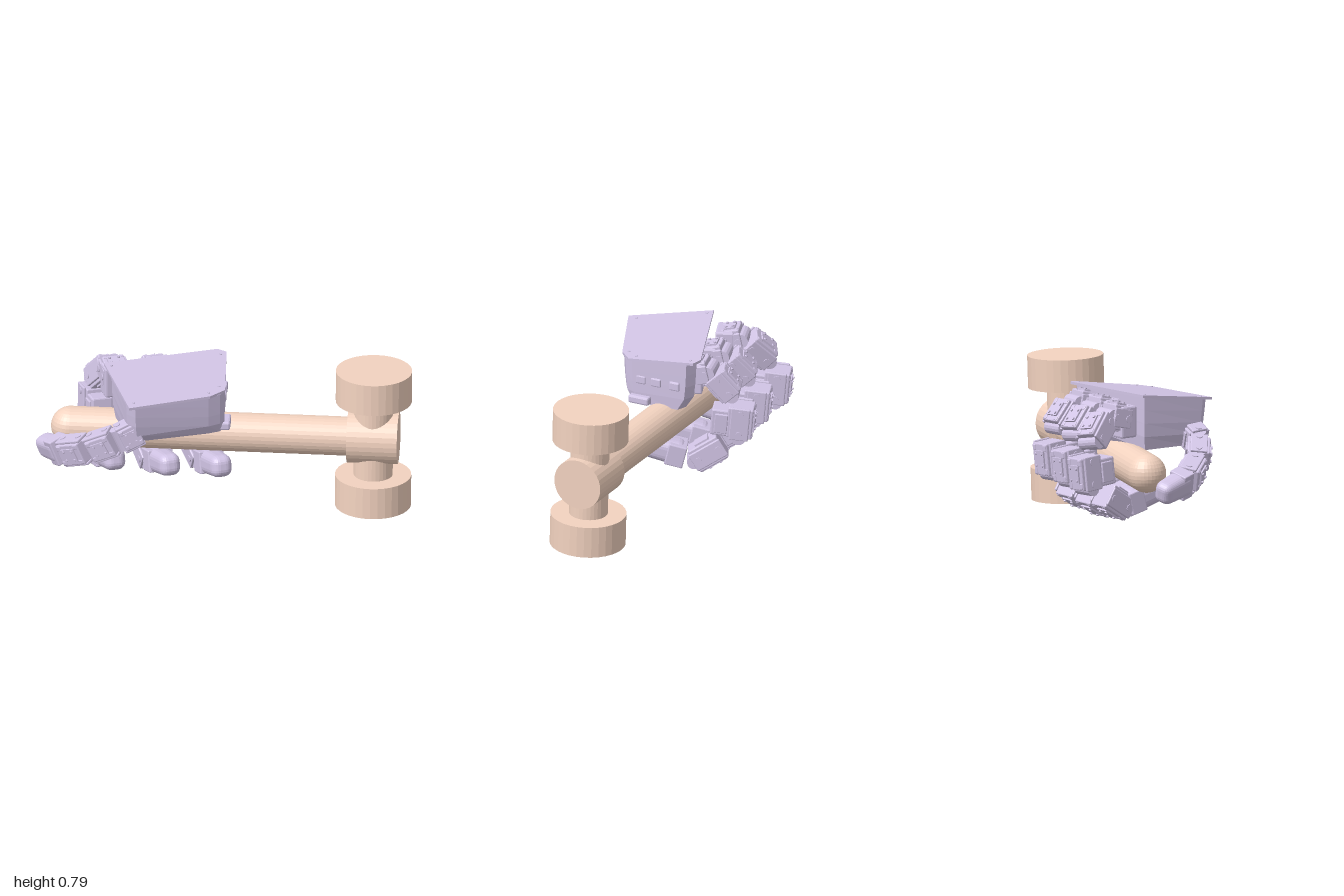
import * as THREE from 'three';
import { RoundedBoxGeometry } from 'three/addons/geometries/RoundedBoxGeometry.js';

const V = (x, y, z) => new THREE.Vector3(x, y, z);
const tan = new THREE.MeshStandardMaterial({ color: 0xf3d3c0, flatShading: true });
const lilac = new THREE.MeshStandardMaterial({ color: 0xd2c5e6, flatShading: true });

function add(parent, geometry, material, name, x = 0, y = 0, z = 0) {
  const mesh = new THREE.Mesh(geometry, material);
  mesh.name = name;
  mesh.position.set(x, y, z);
  parent.add(mesh);
  return mesh;
}

// Mallet: handle along x, double-ended head along y
function createMallet() {
  const mallet = new THREE.Group();
  mallet.name = 'mallet';
  const across = (r, x0, x1, name) => {
    const g = new THREE.CylinderGeometry(r, r, x1 - x0, 32).rotateZ(Math.PI / 2);
    add(mallet, g, tan, name, (x0 + x1) / 2);
  };
  across(0.104, -0.82, 0.7, 'handle');
  across(0.139, 0.658, 0.928, 'headCollar');
  add(mallet, new THREE.SphereGeometry(0.104, 32, 16), tan, 'handleEnd', -0.82);
  add(mallet, new THREE.CylinderGeometry(0.104, 0.104, 0.5, 32), tan, 'headNeck', 0.794);
  for (const s of [-1, 1])
    add(mallet, new THREE.CylinderGeometry(0.203, 0.203, 0.174, 32), tan, 'headFace', 0.794, s * 0.3);
  mallet.position.set(0, 0.397, 0.012);
  mallet.rotation.set(-0.03, -0.018, -0.006);
  return mallet;
}

// Group whose z runs from a to b, x follows the hinge axis and y points to the finger's back
function frame(a, b, hinge, name) {
  const group = new THREE.Group();
  group.name = name;
  const z = b.clone().sub(a).normalize();
  const x = hinge.clone().addScaledVector(z, -hinge.dot(z)).normalize();
  const y = z.clone().cross(x);
  group.quaternion.setFromRotationMatrix(new THREE.Matrix4().makeBasis(x, y, z));
  group.position.copy(a).lerp(b, 0.5);
  return group;
}

// One motorised finger link with side brackets, hinge, back cover and screws
function createLink(a, b, w, t, hinge, name) {
  const link = frame(a, b, hinge, name);
  const len = a.distanceTo(b);
  add(link, new RoundedBoxGeometry(w * 0.78, t, len * 1.08, 1, 0.006), lilac, 'motorHousing');
  add(link, new THREE.BoxGeometry(w * 0.5, t * 0.14, len * 0.62), lilac, 'backCover', 0, t * 0.5, 0);
  add(link, new THREE.BoxGeometry(w * 0.55, t * 0.1, len * 0.5), lilac, 'gripPad', 0, -t * 0.52, 0);
  for (const s of [-1, 1]) {
    add(link, new RoundedBoxGeometry(w * 0.1, t * 0.76, len * 1.16, 1, 0.005), lilac, 'sideBracket', s * w * 0.43);
    for (const e of [-1, 1]) {
      const cap = new THREE.CylinderGeometry(t * 0.14, t * 0.14, w * 0.06, 12).rotateZ(Math.PI / 2);
      add(link, cap, lilac, 'hingeCap', s * w * 0.48, 0, e * len * 0.38);
      add(link, new THREE.CylinderGeometry(0.008, 0.008, 0.012, 8), lilac, 'screw',
        s * w * 0.16, t * 0.58, e * len * 0.2);
      add(link, new RoundedBoxGeometry(w * 0.16, t * 0.2, len * 0.2, 1, 0.004), lilac, 'cornerTab',
        s * w * 0.28, t * 0.43, e * len * 0.4);
    }
  }
  const pin = new THREE.CylinderGeometry(t * 0.28, t * 0.28, w * 0.8, 16).rotateZ(Math.PI / 2);
  add(link, pin, lilac, 'hingePin', 0, 0, len * 0.54);
  return link;
}

// Rounded, tapered fingertip
function createTip(a, b, w, t, hinge) {
  const tip = frame(a, b, hinge, 'fingertip');
  const len = a.distanceTo(b);
  const g = new RoundedBoxGeometry(w, t, len, 3, t * 0.36);
  const p = g.attributes.position;
  for (let i = 0; i < p.count; i++) {
    const k = 0.94 - 0.18 * (p.getZ(i) / len);
    p.setX(i, p.getX(i) * k);
    p.setY(i, p.getY(i) * k);
  }
  g.computeVertexNormals();
  add(tip, g, lilac, 'tipPad');
  add(tip, new RoundedBoxGeometry(w * 1.05, t * 0.9, len * 0.36, 1, 0.006), lilac, 'tipSocket', 0, 0, -len * 0.32);
  return tip;
}

// Digit: consecutive pairs of points are links, the last pair is the tip
function createDigit(points, w, t, hinge, name) {
  const digit = new THREE.Group();
  digit.name = name;
  const last = points.length - 2;
  for (let i = 0; i < last; i += 2)
    digit.add(createLink(points[i], points[i + 1], w, t, hinge, 'fingerLink'));
  digit.add(createTip(points[last], points[last + 1], w * 0.86, t, hinge));
  return digit;
}

const plateY = (x, z) => 0.79 - 0.06 * (x + 0.64) - 0.108 * (z - 0.03);

// Outline in x, z extruded downwards; place(x, z, t) gives the new position at depth t
function createSlab(outline, steps, place) {
  const shape = new THREE.Shape(outline.map(([x, z]) => new THREE.Vector2(x, z)));
  const g = new THREE.ExtrudeGeometry(shape, { depth: 1, steps, bevelEnabled: false }).rotateX(Math.PI / 2);
  const p = g.attributes.position;
  for (let i = 0; i < p.count; i++) p.setXYZ(i, ...place(p.getX(i), p.getZ(i), -p.getY(i)));
  g.computeVertexNormals();
  return g;
}

function createPalm() {
  const palm = new THREE.Group();
  palm.name = 'palm';
  // Cover plate
  const plate = [[-0.64, 0.03], [-0.05, -0.2], [0, -0.18], [0.015, 0.2], [-0.06, 0.275], [-0.48, 0.457]];
  add(palm, createSlab(plate, 1, (x, z, t) => [x, plateY(x, z) - 0.014 * t, z]), lilac, 'palmPlate');
  // Housing: upright ends, front and back tucked in towards the underside
  const body = [[-0.6, 0.05], [-0.06, -0.17], [0, -0.14], [0.012, 0.18], [-0.01, 0.23], [-0.07, 0.27], [-0.45, 0.43], [-0.5, 0.4]];
  add(palm, createSlab(body, 4, (x, z, t) => {
    const step = Math.round(t * 4);
    const kx = [1, 0.995, 0.99, 0.98, 0.95][step];
    const kz = [1, 0.985, 0.965, 0.93, 0.74][step];
    return [-0.12 + (x + 0.12) * kx, THREE.MathUtils.lerp(plateY(x, z) - 0.012, 0.483, t), 0.08 + (z - 0.08) * kz];
  }), lilac, 'palmHousing');
  // Plate screws
  for (const [x, z] of [[-0.6, 0.05], [-0.46, 0.4], [-0.07, 0.24], [-0.03, -0.15], [-0.02, 0.17]])
    add(palm, new THREE.CylinderGeometry(0.008, 0.008, 0.006, 8), lilac, 'plateScrew', x, plateY(x, z), z);
  // Side connectors
  for (const z of [-0.07, 0.04, 0.13])
    add(palm, new RoundedBoxGeometry(0.03, 0.05, 0.06, 1, 0.008), lilac, 'sideConnector', -0.003, 0.62, z);
  add(palm, new RoundedBoxGeometry(0.1, 0.045, 0.12, 1, 0.01), lilac, 'palmFoot', -0.01, 0.51, 0.13);
  return palm;
}

export function createModel() {
  const model = new THREE.Group();
  model.name = 'handHoldingMallet';
  model.add(createMallet());
  const hand = new THREE.Group();
  hand.name = 'roboticHand';
  model.add(hand);
  hand.add(createPalm());

  // Three fingers curled over the back of the handle and under it:
  // shared y and z of the joints, with each finger's own x and offsets
  const fingers = [
    { x: [-0.58, -0.61, -0.62, -0.69, -0.715, -0.715, -0.70, -0.645, -0.65, -0.565], z: 0.045, y: 0.025 },
    { x: [-0.35, -0.375, -0.38, -0.43, -0.455, -0.455, -0.445, -0.385, -0.375, -0.27], z: 0.03, y: 0 },
    { x: [-0.13, -0.15, -0.155, -0.19, -0.21, -0.21, -0.19, -0.12, -0.105, 0.005], z: 0, y: 0 },
  ];
  const bend = [[0.665, -0.11], [0.685, -0.2], [0.665, -0.235], [0.565, -0.315], [0.485, -0.365],
    [0.325, -0.35], [0.25, -0.25], [0.168, -0.13], [0.19, -0.08], [0.258, 0.165]];
  const fingerHinge = V(-0.93, 0, 0.36);
  for (const f of fingers) {
    const points = bend.map(([y, z], i) => V(f.x[i], y + (i > 5 ? f.y : 0), z + f.z * (i < 8 ? 1 : 0)));
    const finger = createDigit(points, 0.155, 0.135, fingerHinge, 'finger');
    hand.add(finger);
    // Second motor on the grip side of the middle link
    const middle = finger.children[2];
    add(middle, new RoundedBoxGeometry(0.115, 0.1, 0.15, 1, 0.008), lilac, 'innerMotor', 0, -0.105, 0.01);
    for (const s of [-1, 1])
      add(middle, new RoundedBoxGeometry(0.014, 0.07, 0.11, 1, 0.004), lilac, 'innerBracket', s * 0.062, -0.1, 0.01);
    // Knuckle mount under the plate edge
    const mount = add(hand, new RoundedBoxGeometry(0.15, 0.17, 0.1, 1, 0.01), lilac, 'knuckleMount',
      f.x[0], 0.65, f.z - 0.12);
    mount.rotation.y = 0.37;
  }

  // Thumb reaching along the front of the handle
  const thumb = [V(-0.44, 0.55, 0.34), V(-0.53, 0.51, 0.365), V(-0.57, 0.49, 0.355), V(-0.68, 0.43, 0.32),
    V(-0.72, 0.41, 0.295), V(-0.83, 0.36, 0.22), V(-0.85, 0.355, 0.205), V(-0.965, 0.305, 0.03)];
  hand.add(createDigit(thumb, 0.16, 0.12, V(0.35, -0.92, 0), 'thumb'));
  return model;
}
